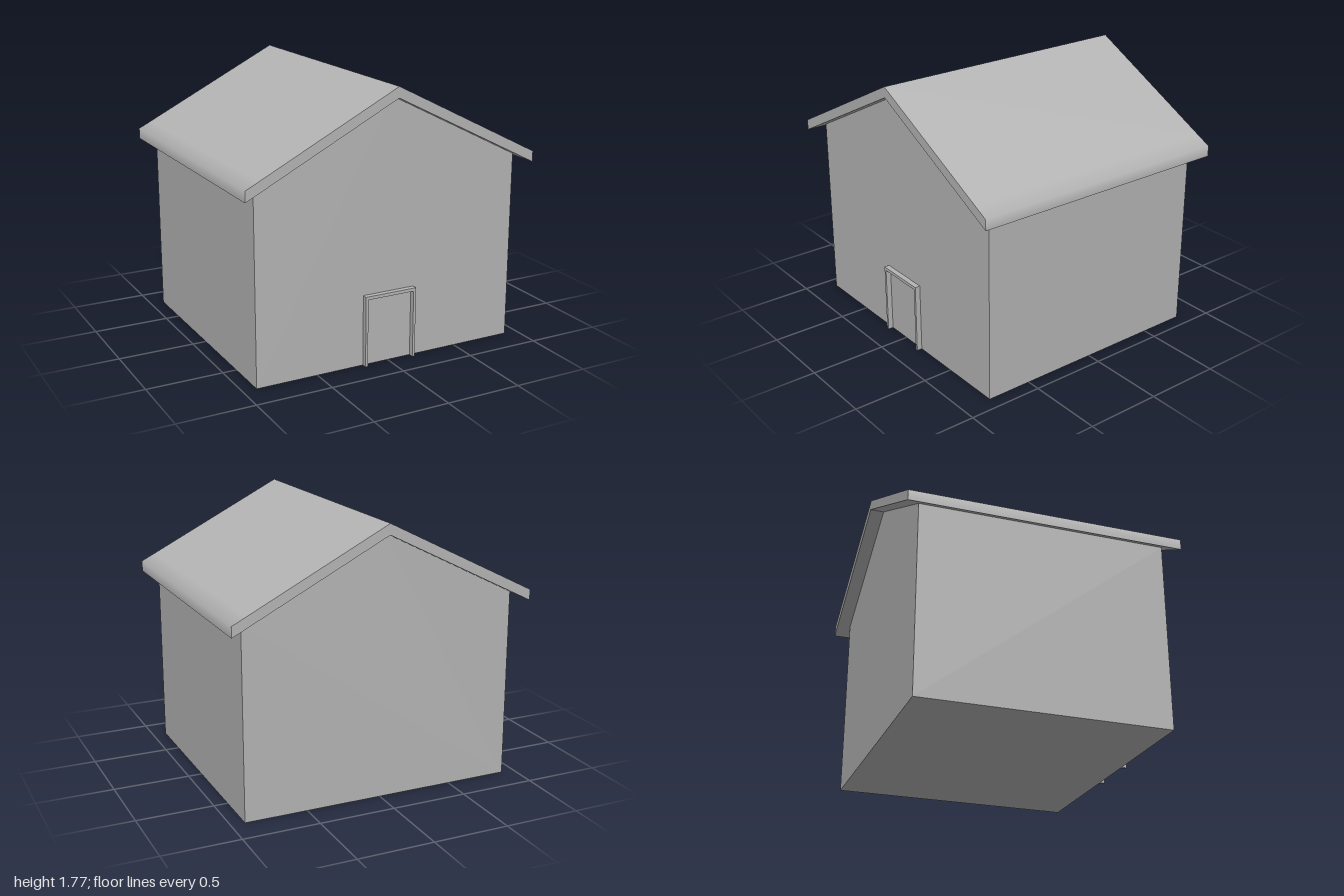
import * as THREE from 'three';

const WALL_X = 0.91, WALL_Z = 0.805, ROOF_Z = 0.895;

const outline = (pts) => new THREE.Shape(pts.map(([x, y]) => new THREE.Vector2(x, y)));

// Extrude an x/y outline from z0 to z1
function extrude(pts, z0, z1) {
  const geo = new THREE.ExtrudeGeometry(outline(pts), { depth: z1 - z0, bevelEnabled: false });
  return geo.translate(0, 0, z0);
}

// Roof skin: profile segments swept along z, normals softened towards the eaves
function roofSkin() {
  const up = new THREE.Vector2(0.505, 1).normalize();
  const out = new THREE.Vector2(1, 0);
  const soft = up.clone().add(out).normalize();
  const down = up.clone().negate();
  const half = [
    [[0, 1.77], [WALL_X, 1.31], up, up],
    [[WALL_X, 1.31], [1, 1.265], up, soft],
    [[1, 1.265], [1, 1.195], soft, out],
    [[1, 1.195], [0, 1.7], down, down],
  ];
  const pos = [], nor = [], idx = [];
  for (const s of [1, -1]) {
    for (const [a, b, na, nb] of half) {
      const ends = s > 0 ? [[a, na], [b, nb]] : [[b, nb], [a, na]];
      const [p, q] = ends;
      const base = pos.length / 3;
      for (const [[pt, n], z] of [[p, ROOF_Z], [q, ROOF_Z], [q, -ROOF_Z], [p, -ROOF_Z]]) {
        pos.push(s * pt[0], pt[1], z);
        nor.push(s * n.x, n.y, 0);
      }
      idx.push(base, base + 1, base + 2, base, base + 2, base + 3);
    }
  }
  const geo = new THREE.BufferGeometry();
  geo.setAttribute('position', new THREE.Float32BufferAttribute(pos, 3));
  geo.setAttribute('normal', new THREE.Float32BufferAttribute(nor, 3));
  geo.setIndex(idx);
  return geo;
}

export function createModel() {
  const group = new THREE.Group();
  group.name = 'house';
  const grey = new THREE.MeshStandardMaterial({ color: 0xb4b4b4 });
  grey.name = 'plain grey';

  const add = (name, geo, parent = group) => {
    const mesh = new THREE.Mesh(geo, grey);
    mesh.name = name;
    parent.add(mesh);
    return mesh;
  };

  // Gabled body
  add('walls', extrude(
    [[-WALL_X, 0], [WALL_X, 0], [WALL_X, 1.24], [0, 1.7], [-WALL_X, 1.24]], -WALL_Z, WALL_Z));

  // Overhanging roof with closed gable ends
  const roof = new THREE.Group();
  roof.name = 'roof';
  group.add(roof);
  add('roofSkin', roofSkin(), roof);
  const gable = new THREE.ShapeGeometry(outline(
    [[-1, 1.195], [0, 1.7], [1, 1.195], [1, 1.265], [0, 1.77], [-1, 1.265]]));
  add('frontGableEdge', gable, roof).position.z = ROOF_Z;
  const back = add('backGableEdge', gable, roof);
  back.position.z = -ROOF_Z;
  back.rotation.y = Math.PI;

  // Door surround standing proud of the front wall
  add('doorFrame', extrude(
    [[-0.18, 0], [-0.163, 0], [-0.163, 0.444], [0.163, 0.444],
      [0.163, 0], [0.18, 0], [0.18, 0.465], [-0.18, 0.465]], WALL_Z, 0.84));

  return group;
}
